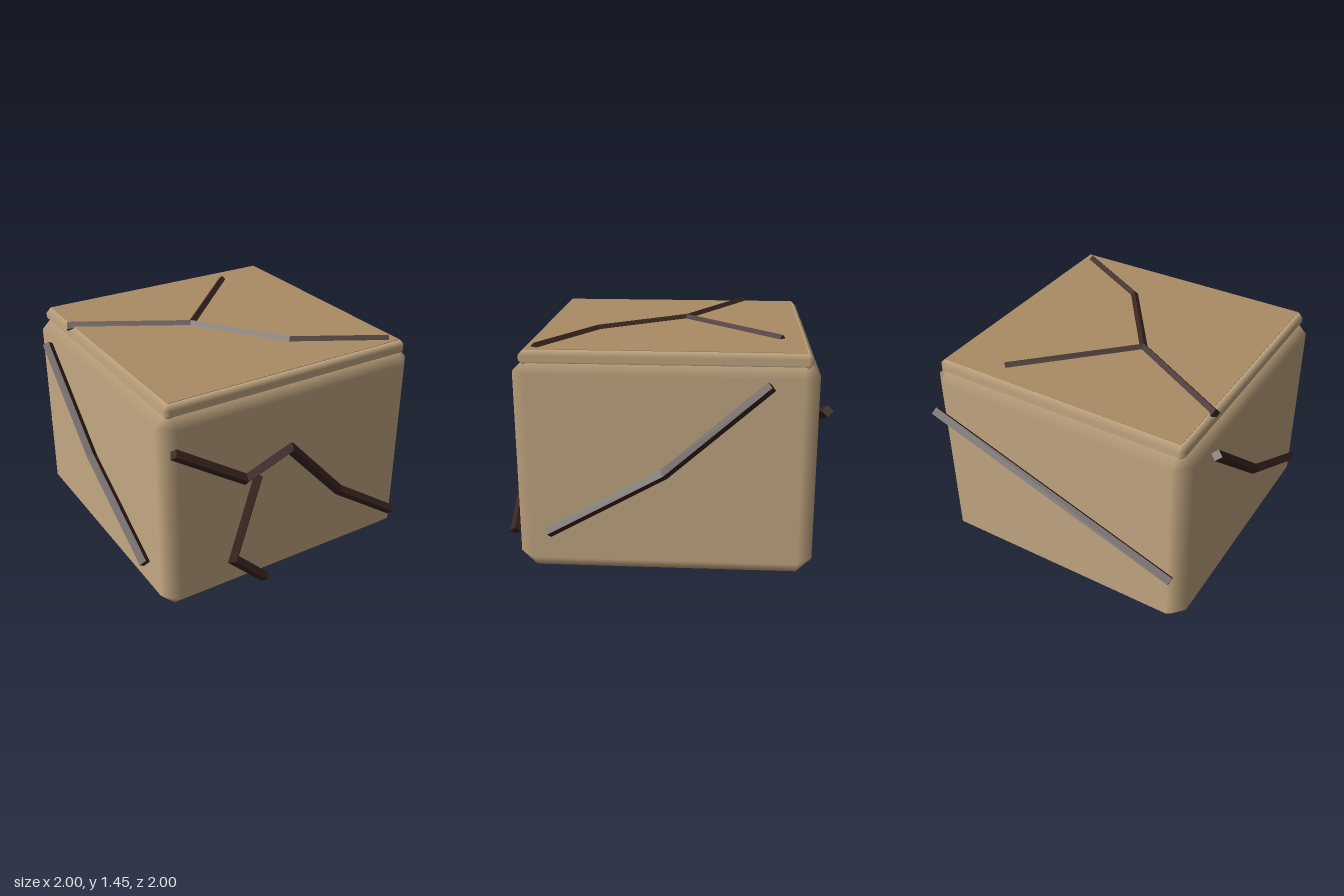
import * as THREE from 'three';

const bodyMaterial = new THREE.MeshStandardMaterial({ color: 0xc4a882 });
const panelMaterial = new THREE.MeshStandardMaterial({ color: 0xa98c64 });
const crackMaterial = new THREE.MeshStandardMaterial({ color: 0x3b2621, flatShading: true });

// Box with one-step chamfers; each corner has three points, one per face,
// carrying that face's normal so that the chamfers shade softly.
function chamferBox(w, h, d, c) {
  const half = [w / 2, h / 2, d / 2];
  const position = [], normal = [];
  const point = (s, axis) => ({
    p: new THREE.Vector3(...half.map((v, i) => s[i] * (i === axis ? v : v - c))),
    n: new THREE.Vector3().setComponent(axis, s[axis]),
  });
  const polygon = (pts) => {
    const centre = pts.reduce((sum, q) => sum.add(q.p), new THREE.Vector3());
    const e1 = pts[1].p.clone().sub(pts[0].p), e2 = pts[2].p.clone().sub(pts[0].p);
    if (e1.cross(e2).dot(centre) < 0) pts.reverse();
    for (let i = 1; i < pts.length - 1; i++) {
      for (const q of [pts[0], pts[i], pts[i + 1]]) {
        position.push(...q.p.toArray());
        normal.push(...q.n.toArray());
      }
    }
  };
  const signs = (a, sa, b, sb, k, sk) => {
    const s = [];
    s[a] = sa; s[b] = sb; s[k] = sk;
    return s;
  };
  for (let a = 0; a < 3; a++) {
    const b = (a + 1) % 3, k = (a + 2) % 3;
    for (const sa of [-1, 1]) {
      // flat face
      polygon([[-1, -1], [1, -1], [1, 1], [-1, 1]].map(([sb, sk]) => point(signs(a, sa, b, sb, k, sk), a)));
      // edge chamfers between faces a and b
      for (const sb of [-1, 1]) {
        const lo = signs(a, sa, b, sb, k, -1), hi = signs(a, sa, b, sb, k, 1);
        polygon([point(lo, a), point(hi, a), point(hi, b), point(lo, b)]);
      }
    }
  }
  // corner triangles
  for (let i = 0; i < 8; i++) {
    const s = [i & 1, i & 2, i & 4].map((bit) => (bit ? 1 : -1));
    polygon([0, 1, 2].map((axis) => point(s, axis)));
  }
  const g = new THREE.BufferGeometry();
  g.setAttribute('position', new THREE.Float32BufferAttribute(position, 3));
  g.setAttribute('normal', new THREE.Float32BufferAttribute(normal, 3));
  return g;
}

// Diamond-section strip swept with mitred joints along a flat path.
function stripGeometry(path, r = 0.035) {
  const pts = path.map(([x, y]) => new THREE.Vector2(x, y));
  const side = (i) => {
    const d = pts[i + 1].clone().sub(pts[i]).normalize();
    return new THREE.Vector2(-d.y, d.x);
  };
  const position = [], index = [], last = pts.length - 1;
  pts.forEach((p, i) => {
    const s0 = side(Math.max(i - 1, 0)), s1 = side(Math.min(i, last - 1));
    const m = s0.clone().add(s1).normalize();
    m.multiplyScalar(r / m.dot(s0));
    position.push(p.x + m.x, p.y + m.y, 0, p.x, p.y, r, p.x - m.x, p.y - m.y, 0, p.x, p.y, -r);
    if (i === last) return;
    for (let k = 0; k < 4; k++) {
      const a = i * 4 + k, b = i * 4 + ((k + 1) % 4);
      index.push(a, b, b + 4, a, b + 4, a + 4);
    }
  });
  const e = last * 4;
  index.push(0, 2, 1, 0, 3, 2, e, e + 1, e + 2, e, e + 2, e + 3);
  const g = new THREE.BufferGeometry();
  g.setAttribute('position', new THREE.Float32BufferAttribute(position, 3));
  g.setIndex(index);
  const flat = g.toNonIndexed();
  flat.computeVertexNormals();
  return flat;
}

export function createModel() {
  const model = new THREE.Group();
  model.name = 'crackedStoneBlock';

  const add = (name, geometry, material, x = 0, y = 0, z = 0) => {
    const mesh = new THREE.Mesh(geometry, material);
    mesh.name = name;
    mesh.position.set(x, y, z);
    model.add(mesh);
    return mesh;
  };

  // Block, lid slab and darker top panel
  add('block', chamferBox(1.84, 1.375, 1.84, 0.095), bodyMaterial, 0, 0.6875, 0);
  add('lid', chamferBox(1.75, 0.097, 1.75, 0.032), bodyMaterial, 0, 1.3685, 0);
  add('topPanel', new THREE.BoxGeometry(1.68, 0.02, 1.68), panelMaterial, 0, 1.41, 0);

  // Cracks on the front
  const out = 0.965;
  const crack = (name, path, x, y, z) => add(name, stripGeometry(path), crackMaterial, x, y, z);
  crack('frontCrack', [[-0.88, 1.17], [-0.4, 0.85], [-0.08, 0.965], [0.32, 0.53], [0.79, 0.21]], 0, 0, out);
  crack('frontCrackBranch', [[-0.31, 0.84], [-0.48, 0.29], [-0.24, 0.055]], 0, 0, out);

  // Matching cracks on both sides, rising towards the back
  for (const s of [-1, 1]) {
    const path = [[-0.715, 0.29], [0, 0.69], [0.63, 1.25]].map(([u, v]) => [s * u, v]);
    crack(s > 0 ? 'leftCrack' : 'rightCrack', path, s * out, 0, 0).rotation.y = (s * Math.PI) / 2;
  }

  // Straight crack across the back
  crack('backCrack', [[-0.87, 1.08], [0.87, 0.46]], 0, 0, -out).rotation.y = Math.PI;

  // Forked crack on the top
  const topPaths = {
    topCrack: [[-0.87, 0.48], [-0.16, 0.08], [0.24, -0.48], [0.79, -0.79]],
    topCrackBranch: [[-0.16, 0.08], [0.47, 0.71]],
  };
  for (const [name, path] of Object.entries(topPaths)) {
    crack(name, path, 0, 1.41, 0).rotation.x = -Math.PI / 2;
  }
  return model;
}
